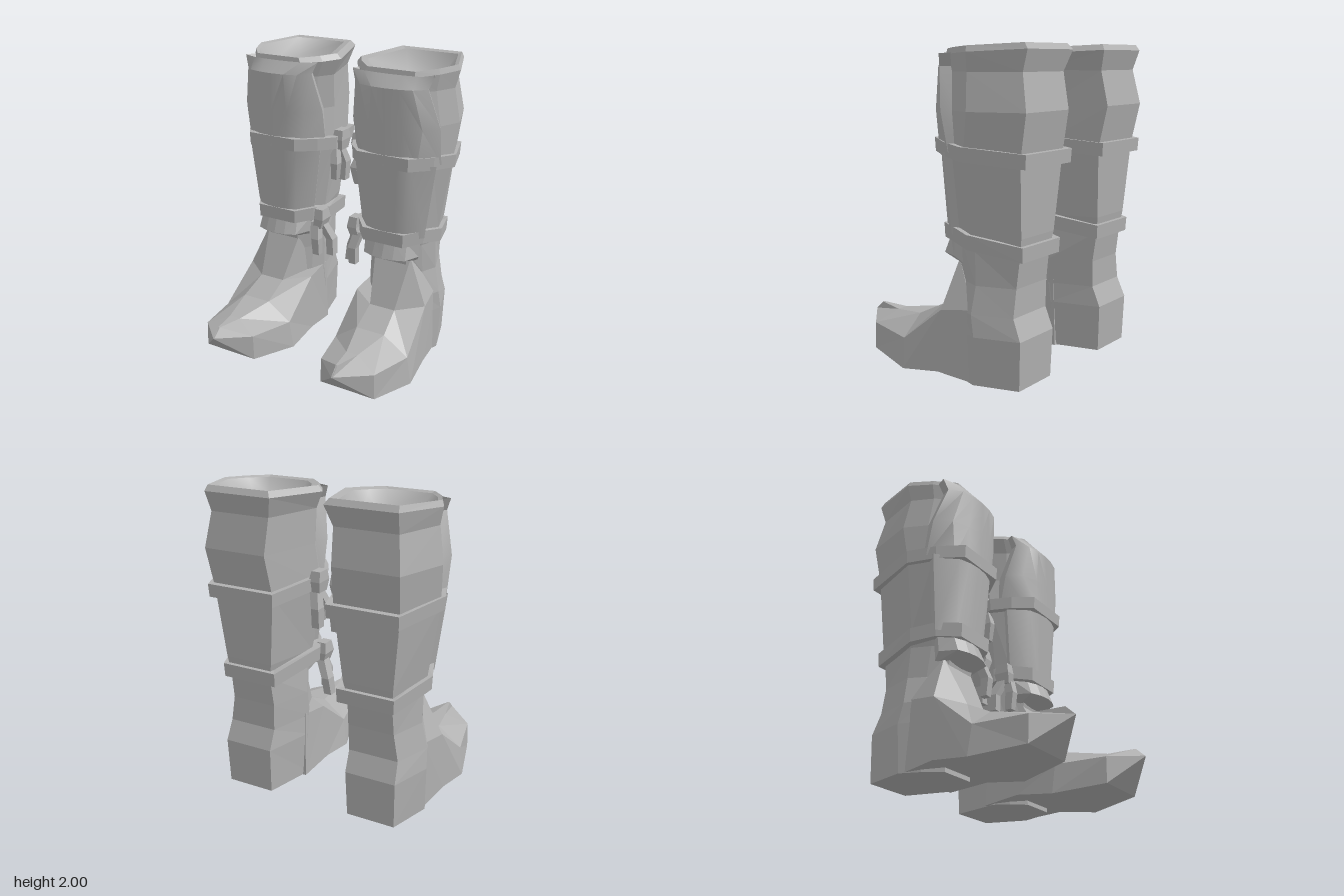
import * as THREE from 'three';
import { toCreasedNormals } from 'three/addons/utils/BufferGeometryUtils.js';

const V = (x, y, z) => new THREE.Vector3(x, y, z);

// Eight-cornered leg section; x runs inner to outer, z back to front, tilt lifts the front
const SECTION = [[-0.66, 0], [0.66, 0], [1, 0.52], [0.8, 0.76], [0.5, 0.97], [-0.5, 0.97], [-0.8, 0.8], [-1, 0.62]];
function ring(y, x0, x1, z0, z1, tilt = 0, dip = 0) {
  return SECTION.map(([u, v]) => V(
    (x0 + x1) / 2 + u * (x1 - x0) / 2,
    y + tilt * (v - 0.5) - (v > 0.9 ? dip : 0),
    z0 + v * (z1 - z0)));
}

// Row of points across the front of the leg, from outer to inner edge
function frontRow([y, xc, edge, zEdge, face, zFace, zMid]) {
  const half = [[edge - 0.04, zEdge - 0.08], [edge, zEdge], [face, zFace], [face / 2, zMid * 0.75 + zFace * 0.25]];
  return [
    ...half.map(([x, z]) => V(xc + x, y, z)),
    V(xc, y, zMid),
    ...half.reverse().map(([x, z]) => V(xc - x, y, z)),
  ];
}

// Skin between rows of points; side = -1 mirrors it, crease > 0 smooths softer edges
function loft(rows, { side = 1, closed = true, capStart = false, capEnd = false, crease = 0 }) {
  const pos = [];
  const tri = (a, b, c) => {
    for (const p of side > 0 ? [a, b, c] : [a, c, b]) pos.push(p.x * side, p.y, p.z);
  };
  const n = rows[0].length;
  const centre = (row) => row.reduce((s, p) => s.add(p), V(0, 0, 0)).divideScalar(n);
  for (let r = 0; r + 1 < rows.length; r++) {
    for (let i = 0; i < (closed ? n : n - 1); i++) {
      const j = (i + 1) % n;
      const a = rows[r][i], b = rows[r][j], c = rows[r + 1][j], d = rows[r + 1][i];
      tri(a, c, b);
      tri(a, d, c);
    }
  }
  const first = rows[0], last = rows[rows.length - 1];
  for (let i = 0; i < n; i++) {
    const j = (i + 1) % n;
    if (capStart) tri(first[i], first[j], centre(first));
    if (capEnd) tri(last[j], last[i], centre(last));
  }
  const g = new THREE.BufferGeometry();
  g.setAttribute('position', new THREE.Float32BufferAttribute(pos, 3));
  if (crease) return toCreasedNormals(g, crease);
  g.computeVertexNormals();
  return g;
}

// Rectangular cross-section of a strap end
const strapRow = ([x, y, z, w, d]) => [V(x - w, y, z - d), V(x + w, y, z - d), V(x + w, y, z + d), V(x - w, y, z + d)];

// Foot section: top, side and sole corners at one station
const footRow = ([zSole, soleHW, soleY, zMid, midHW, midY, zTop, topHW, topY, xc]) => [
  V(xc - topHW, topY, zTop), V(xc + topHW, topY, zTop),
  V(xc + midHW, midY, zMid), V(xc + soleHW, soleY, zSole),
  V(xc - soleHW, soleY, zSole), V(xc - midHW, midY, zMid),
];

function createBoot(side, material) {
  const boot = new THREE.Group();
  boot.name = side > 0 ? 'leftBoot' : 'rightBoot';
  const add = (name, rows, options = {}) => {
    const mesh = new THREE.Mesh(loft(rows, { side, ...options }), material);
    mesh.name = name;
    boot.add(mesh);
  };

  // Heel, ankle, shaft and rolled rim
  add('shaft', [
    ring(0, 0.2, 0.69, -0.62, -0.08),
    ring(0.3, 0.19, 0.7, -0.63, -0.1),
    ring(0.43, 0.19, 0.69, -0.575, -0.1),
    ring(0.6, 0.19, 0.655, -0.575, -0.12),
    ring(0.8, 0.2, 0.65, -0.6, -0.08),
    ring(0.9, 0.17, 0.67, -0.615, -0.04),
    ring(1.36, 0.1, 0.74, -0.64, -0.02),
    ring(1.62, 0.115, 0.76, -0.69, -0.05),
    ring(1.84, 0.11, 0.725, -0.645, -0.05),
    ring(1.95, 0.06, 0.75, -0.685, -0.04, -0.03),
    ring(1.985, 0.09, 0.735, -0.66, -0.05, -0.03),
    ring(1.975, 0.14, 0.71, -0.63, -0.075, -0.03),
  ], { capStart: true });

  // Hollow of the opening
  add('opening', [
    ring(1.975, 0.14, 0.71, -0.63, -0.075, -0.03),
    ring(1.87, 0.23, 0.62, -0.54, -0.16),
    ring(1.83, 0.33, 0.52, -0.44, -0.26),
  ], { capEnd: true, crease: 1.2 });

  // Foot with upturned toe
  add('foot', [
    [-0.34, 0.24, 0, -0.32, 0.235, 0.45, -0.14, 0.13, 0.72, 0.43],
    [-0.08, 0.27, 0.03, -0.1, 0.255, 0.42, 0.02, 0.09, 0.4, 0.44],
    [0.18, 0.29, 0, 0.19, 0.265, 0.19, 0.2, 0.1, 0.31, 0.45],
    [0.51, 0.195, 0.04, 0.51, 0.19, 0.21, 0.45, 0.04, 0.275, 0.455],
    [0.69, 0.004, 0.225, 0.69, 0.004, 0.23, 0.63, 0.006, 0.285, 0.45],
  ].map(footRow), { capStart: true, capEnd: true });

  // Curved guards over shin and knee
  add('shinGuard', [
    [0.88, 0.42, 0.225, -0.15, 0.14, -0.05, -0.02],
    [1.38, 0.42, 0.29, -0.14, 0.17, -0.025, 0.01],
  ].map(frontRow), { closed: false, crease: 0.6 });
  add('kneeGuard', [
    [1.38, 0.42, 0.3, -0.19, 0.2, -0.04, 0.02],
    [1.62, 0.42, 0.305, -0.14, 0.23, -0.04, 0.02],
    [1.87, 0.41, 0.25, -0.08, 0.18, -0.01, 0.02],
    [1.945, 0.41, 0.28, -0.1, 0.18, -0.06, -0.045],
  ].map(frontRow), { closed: false, crease: 0.6 });

  // Flared collar above the instep
  add('ankleCollar', [
    [0.69, 0.42, 0.16, -0.2, 0.12, -0.16, -0.13],
    [0.745, 0.42, 0.195, -0.14, 0.15, -0.03, 0.01],
    [0.85, 0.42, 0.2, -0.15, 0.14, -0.07, -0.03],
  ].map(frontRow), { closed: false });

  // Two straps around the leg
  const band = (name, y, h, [x0, x1, z0, z1], tilt, dip) => {
    const at = (yy, inset) => ring(yy, x0 + inset, x1 - inset, z0 + inset, z1 - inset, tilt, dip);
    add(name, [at(y - h, 0.06), at(y - h, 0.005), at(y + h, 0), at(y + h, 0.06)]);
  };
  band('upperStrap', 1.38, 0.042, [0.06, 0.768, -0.688, 0.045], 0.06, 0);
  band('lowerStrap', 0.86, 0.045, [0.12, 0.7, -0.637, 0.005], 0.1, 0.025);

  // Knots and hanging strap ends on the inner side
  const strap = (name, points) => add(name, points.map(strapRow), { capStart: true, capEnd: true });
  strap('upperKnot', [[0.08, 1.33, -0.32, 0.035, 0.045], [0.075, 1.4, -0.32, 0.04, 0.06], [0.07, 1.465, -0.32, 0.03, 0.045]]);
  strap('upperStrapEnd', [[0.07, 1.1, -0.35, 0.026, 0.03], [0.065, 1.23, -0.36, 0.026, 0.035], [0.1, 1.36, -0.32, 0.028, 0.03]]);
  strap('upperStrapTail', [[0.09, 1.12, -0.27, 0.02, 0.025], [0.075, 1.24, -0.25, 0.025, 0.03], [0.11, 1.36, -0.3, 0.025, 0.03]]);
  strap('lowerKnot', [[0.15, 0.79, -0.16, 0.03, 0.045], [0.13, 0.86, -0.16, 0.035, 0.055], [0.135, 0.93, -0.16, 0.03, 0.04]]);
  strap('lowerStrapEnd', [[0.075, 0.585, -0.2, 0.027, 0.03], [0.085, 0.7, -0.21, 0.026, 0.035], [0.15, 0.83, -0.17, 0.03, 0.03]]);
  strap('lowerStrapTail', [[0.145, 0.6, -0.12, 0.025, 0.025], [0.145, 0.72, -0.11, 0.028, 0.03], [0.17, 0.83, -0.15, 0.03, 0.03]]);
  return boot;
}

export function createModel() {
  const grey = new THREE.MeshStandardMaterial({ color: 0xb0b0b0, side: THREE.DoubleSide });
  grey.name = 'grey';
  const model = new THREE.Group();
  model.name = 'boots';
  for (const side of [1, -1]) model.add(createBoot(side, grey));
  return model;
}
